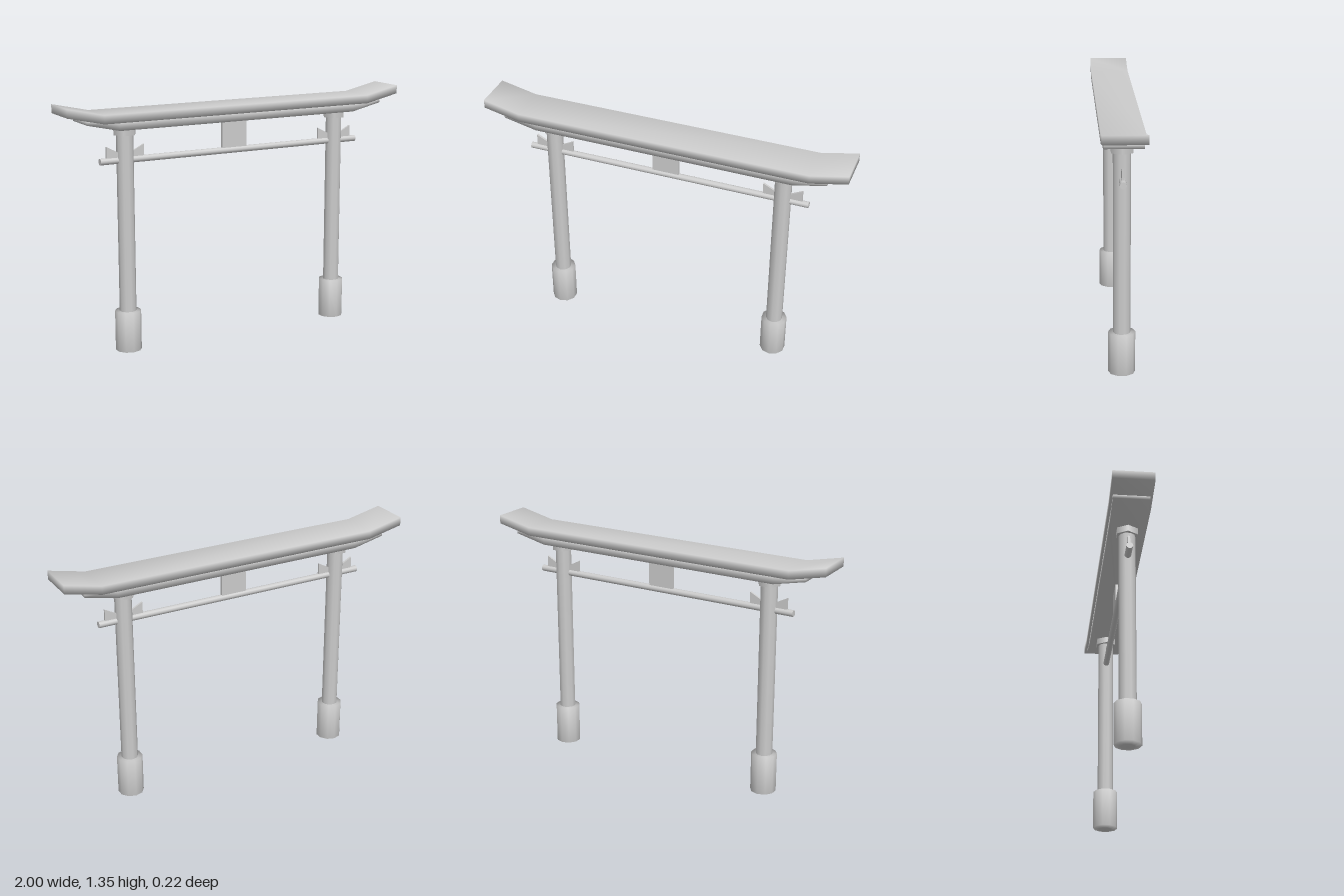
import * as THREE from 'three';

const material = new THREE.MeshStandardMaterial({ color: 0xcccccc });

function add(parent, name, geometry, x = 0, y = 0, z = 0) {
  const mesh = new THREE.Mesh(geometry, material);
  mesh.name = name;
  mesh.position.set(x, y, z);
  parent.add(mesh);
  return mesh;
}

// Rectangular beam swept along x through stations [x, bottom, top], with shared smooth normals.
function beamGeometry(stations, halfDepth) {
  const positions = [];
  const index = [];
  for (const [x, bottom, top] of stations) {
    positions.push(x, bottom, halfDepth, x, top, halfDepth, x, top, -halfDepth, x, bottom, -halfDepth);
  }
  for (let s = 0; s < stations.length - 1; s++) {
    for (let k = 0; k < 4; k++) {
      const a = s * 4 + k;
      const b = s * 4 + (k + 1) % 4;
      index.push(a, a + 4, b + 4, a, b + 4, b);
    }
  }
  const e = (stations.length - 1) * 4;
  index.push(0, 1, 2, 0, 2, 3, e, e + 2, e + 1, e, e + 3, e + 2);
  const geometry = new THREE.BufferGeometry();
  geometry.setAttribute('position', new THREE.Float32BufferAttribute(positions, 3));
  geometry.setIndex(index);
  geometry.computeVertexNormals();
  return geometry;
}

// Beam with a level middle and raised ends; each pair is [bottom, top].
function upturnedBeam(halfLength, bend, middle, end, halfDepth) {
  return beamGeometry([
    [-halfLength, ...end], [-bend, ...middle], [bend, ...middle], [halfLength, ...end],
  ], halfDepth);
}

// Ten-sided foot with a shallow domed underside.
function footGeometry() {
  const profile = [[0, 0], [0.035, 0.004], [0.07, 0.012], [0.07, 0.23], [0, 0.23]];
  return new THREE.LatheGeometry(profile.map(([x, y]) => new THREE.Vector2(x, y)), 10);
}

// Thin bow-tie wedge driven through the post above the tie bar.
function wedgeGeometry() {
  const shape = new THREE.Shape();
  shape.moveTo(-0.106, 1.058);
  shape.lineTo(0.106, 1.058);
  shape.lineTo(0.106, 1.123);
  shape.lineTo(0, 1.068);
  shape.lineTo(-0.106, 1.123);
  shape.closePath();
  const geometry = new THREE.ExtrudeGeometry(shape, { depth: 0.012, bevelEnabled: false });
  return geometry.translate(0, 0, -0.006);
}

export function createModel() {
  const gate = new THREE.Group();
  gate.name = 'gate';

  // Double lintel
  add(gate, 'topLintel', upturnedBeam(1, 0.8, [1.258, 1.304], [1.302, 1.348], 0.109));
  add(gate, 'underLintel', upturnedBeam(0.89, 0.71, [1.216, 1.259], [1.256, 1.276], 0.096));

  // Tie bar and central plaque
  const bar = new THREE.CylinderGeometry(0.0175, 0.0175, 1.574, 10).rotateZ(Math.PI / 2);
  add(gate, 'tieBar', bar, 0, 1.046, 0);
  add(gate, 'centralPlaque', new THREE.BoxGeometry(0.147, 0.165, 0.016), 0, 1.1385, 0);

  // Posts with feet, collars and wedges
  for (const side of [-1, 1]) {
    const post = new THREE.Group();
    post.name = side > 0 ? 'leftPost' : 'rightPost';
    post.position.x = side * 0.645;
    gate.add(post);
    add(post, 'foot', footGeometry());
    add(post, 'column', new THREE.CylinderGeometry(0.045, 0.045, 1.0, 10), 0, 0.7, 0);
    const collar = new THREE.CylinderGeometry(0.063, 0.063, 0.038, 6).rotateY(Math.PI / 6);
    add(post, 'collar', collar, 0, 1.199, 0);
    add(post, 'wedge', wedgeGeometry());
  }
  return gate;
}
